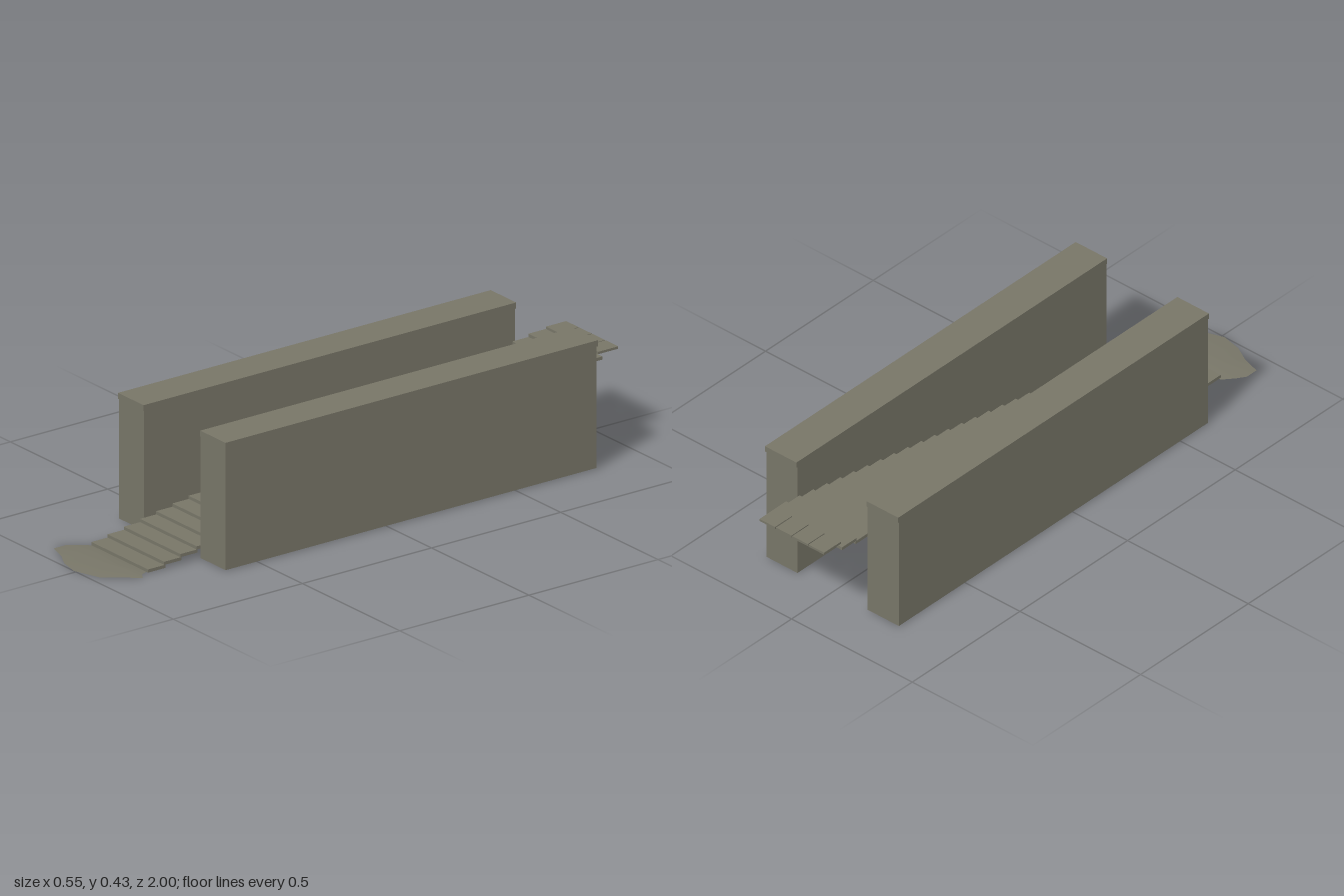
import * as THREE from 'three';

export function createModel() {
  const group = new THREE.Group();
  group.name = 'walledStairway';
  const stone = new THREE.MeshStandardMaterial({ color: 0x777567, side: THREE.DoubleSide });
  stone.name = 'weathered stone';

  const add = (name, geometry, parent = group) => {
    const mesh = new THREE.Mesh(geometry, stone);
    mesh.name = name;
    parent.add(mesh);
    return mesh;
  };

  // Box given by its limits; open boxes have no underside
  const box = (x0, x1, y0, y1, z0, z1, open = false) => {
    const g = new THREE.BoxGeometry(x1 - x0, y1 - y0, z1 - z0);
    g.translate((x0 + x1) / 2, (y0 + y1) / 2, (z0 + z1) / 2);
    if (open) {
      const index = Array.from(g.index.array);
      index.splice(18, 6);
      g.setIndex(index);
      g.clearGroups();
    }
    return g;
  };

  // Hollow side walls, each with a slightly overhanging coping
  for (const [side, inner, outer, top] of [['left', 0.145, 0.273, 0.427], ['right', -0.146, -0.275, 0.42]]) {
    const wall = new THREE.Group();
    wall.name = side + 'Wall';
    group.add(wall);
    const lip = outer + Math.sign(outer) * 0.002;
    add('wallBody', box(Math.min(inner, outer), Math.max(inner, outer), 0.003, top - 0.002, -0.81, 0.626, true), wall);
    add('wallCoping', box(Math.min(inner, lip), Math.max(inner, lip), top - 0.02, top, -0.815, 0.628, true), wall);
  }

  // Flight of overlapping thin slabs
  const count = 28, run = 1.755 / count, rise = 0.0108;
  const steps = new THREE.Group();
  steps.name = 'steps';
  group.add(steps);
  for (let i = 0; i < count; i++) {
    const front = 0.83 - i * run, top = 0.008 + (i + 0.5) * rise;
    add('step', box(-0.146, 0.145, top - 0.0105, top, front - run - 0.004, front), steps);
  }

  // Row of four paving tiles at the head of the stairs
  for (let i = 0; i < 4; i++) {
    const x = -0.135 + i * 0.0677;
    add('landingTile', box(x, x + 0.0645, 0.31, 0.318, -1, -0.922));
  }

  // Ragged patch of ground at the foot, gently domed
  const rim = [
    [-0.15, 0.825], [-0.18, 0.86], [-0.2, 0.89], [-0.2, 0.935], [-0.135, 0.955], [-0.08, 0.985],
    [-0.01, 1], [0.08, 0.97], [0.165, 0.865], [0.14, 0.85], [0.13, 0.825]
  ];
  const center = [-0.01, 0.89], n = rim.length;
  const pos = [center[0], 0.005, center[1]], index = [];
  for (const [scale, y] of [[0.6, 0.004], [1, 0]]) {
    for (const [x, z] of rim) {
      pos.push(center[0] + (x - center[0]) * scale, y, center[1] + (z - center[1]) * scale);
    }
  }
  for (let i = 0; i < n; i++) {
    const j = (i + 1) % n, a = 1 + i, b = 1 + j;
    index.push(0, a, b, a, a + n, b + n, a, b + n, b);
  }
  const patch = new THREE.BufferGeometry();
  patch.setAttribute('position', new THREE.Float32BufferAttribute(pos, 3));
  patch.setIndex(index);
  patch.computeVertexNormals();
  add('groundPatch', patch);

  return group;
}
